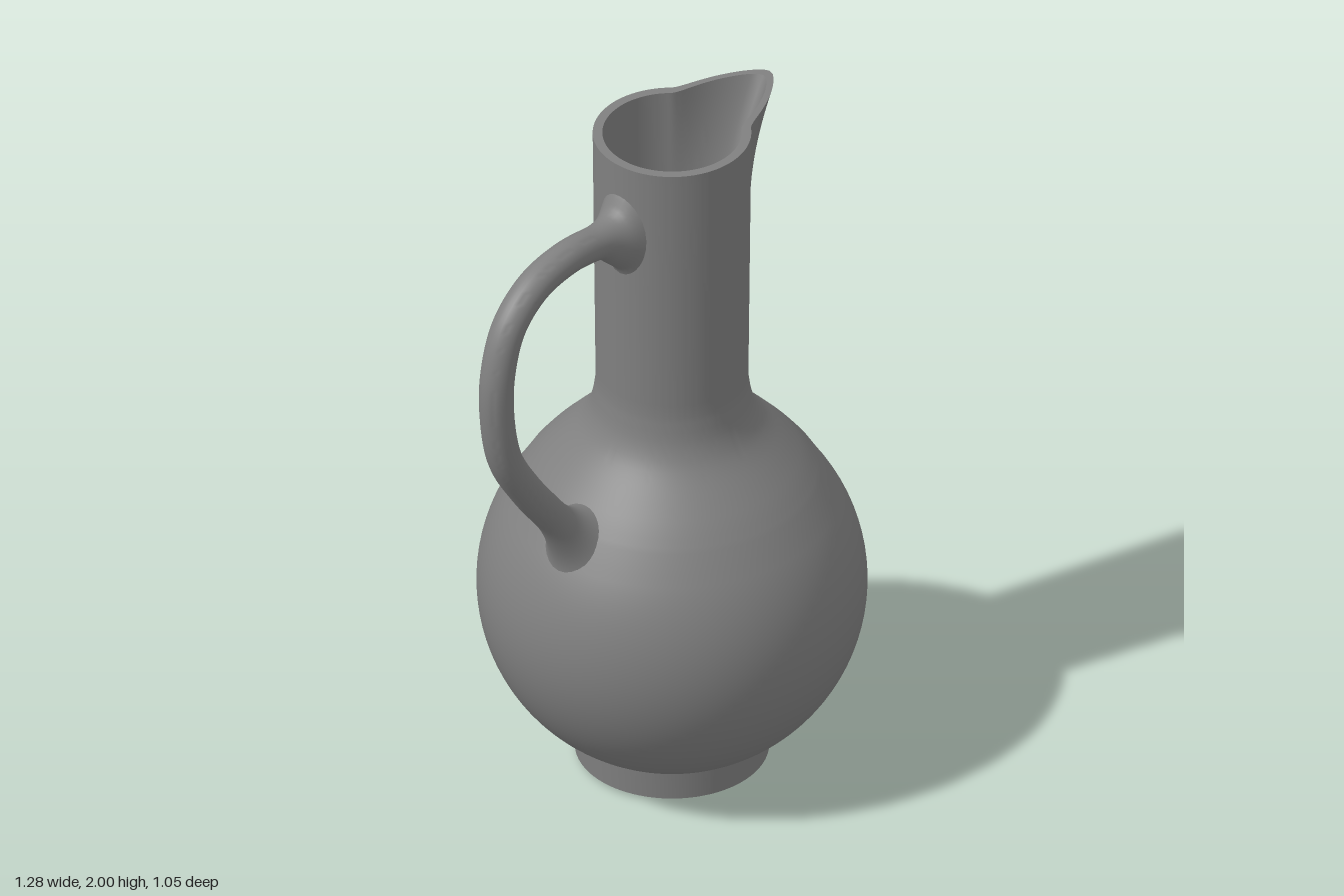
import * as THREE from 'three';
import { mergeVertices, toCreasedNormals } from 'three/addons/utils/BufferGeometryUtils.js';

const material = new THREE.MeshStandardMaterial({ color: 0x808080 });
const v2 = (x, y) => new THREE.Vector2(x, y);

// Smooth shading without a seam, keeping the rim and foot edges sharp
function finish(geo) {
  geo.deleteAttribute('uv');
  geo.deleteAttribute('normal');
  return toCreasedNormals(mergeVertices(geo, 1e-5), 0.7);
}

// Round belly: points on a circle from height y0 to y1
function bellyArc(radius, y0, y1, steps) {
  const cy = 0.55, a0 = Math.asin((y0 - cy) / radius), a1 = Math.asin((y1 - cy) / radius);
  const points = [];
  for (let i = 0; i <= steps; i++) {
    const a = a0 + (a1 - a0) * i / steps;
    points.push(v2(radius * Math.cos(a), cy + radius * Math.sin(a)));
  }
  return points;
}

// Shoulder curving into the neck, then the nearly straight neck up to the rim
function shoulderAndNeck(wall) {
  const shoulder = new THREE.SplineCurve([
    v2(0.4, 0.9), v2(0.36, 0.95), v2(0.313, 1), v2(0.265, 1.05),
    v2(0.236, 1.09), v2(0.216, 1.14), v2(0.205, 1.21)
  ]).getPoints(18);
  const neck = [];
  for (let i = 1; i <= 20; i++) neck.push(v2(0.205 + 0.008 * i / 20, 1.21 + 0.79 * i / 20));
  return [...shoulder, ...neck].map(p => v2(p.x - wall, p.y));
}

// Vessel: closed lathe wall, pulled out at one side into a pouring lip
function vesselGeometry() {
  const wall = 0.026;
  const outside = [
    v2(0, 0), v2(0.24, 0), v2(0.261, 0.013), v2(0.266, 0.1),
    ...bellyArc(0.525, 0.102, 0.85, 28), ...shoulderAndNeck(0)
  ];
  const inside = [v2(0, 0.11), ...bellyArc(0.5, 0.11, 0.85, 22), ...shoulderAndNeck(wall)].reverse();
  const geo = new THREE.LatheGeometry([...outside, ...inside], 160, -Math.PI / 2);

  const pos = geo.attributes.position;
  for (let i = 0; i < pos.count; i++) {
    const x = pos.getX(i), y = pos.getY(i), z = pos.getZ(i);
    const r = Math.hypot(x, z);
    if (y < 1.25 || r < 0.01) continue;
    // angle from the lip, softened so the tip is slightly blunt
    const angle = Math.hypot(Math.atan2(z, x), 0.06) - 0.06;
    const side = Math.max(0, 1 - angle / 0.69);
    const pull = 0.18 * Math.pow((y - 1.25) / 0.75, 2.5) * Math.pow(side, 1.65);
    pos.setX(i, x * (1 + pull / r));
    pos.setZ(i, z * (1 + pull / r));
  }
  return finish(geo);
}

// Handle: a tube that flares where it meets the neck and the belly
function handleGeometry() {
  const path = new THREE.CatmullRomCurve3([
    [-0.198, 1.782], [-0.24, 1.784], [-0.31, 1.798], [-0.43, 1.808], [-0.56, 1.78],
    [-0.655, 1.7], [-0.7, 1.57], [-0.703, 1.43], [-0.672, 1.28], [-0.59, 1.14],
    [-0.5, 1.02], [-0.435, 0.938], [-0.375, 0.875]
  ].map(([x, y]) => new THREE.Vector3(x, y, 0)));
  const rings = 120, sides = 28;
  const geo = new THREE.TubeGeometry(path, rings, 0.047, sides);
  const pos = geo.attributes.position;
  const neckRadius = 0.207;
  for (let i = 0; i < pos.count; i++) {
    const u = Math.floor(i / (sides + 1)) / rings;
    const c = path.getPointAt(u);
    const top = Math.pow(Math.max(0, 1 - u / 0.1), 2.6);
    const bottom = Math.pow(Math.max(0, (u - 0.86) / 0.14), 2.6);
    const inPlane = 1 + 2.1 * top + 1.4 * bottom;
    const across = 1 + 0.9 * top + 1.1 * bottom;
    const z = pos.getZ(i) * across;
    // wrap the upper end around the neck
    const wrap = top * (neckRadius - Math.sqrt(neckRadius ** 2 - z * z));
    pos.setXYZ(i,
      c.x + (pos.getX(i) - c.x) * inPlane + wrap,
      c.y + (pos.getY(i) - c.y) * inPlane,
      z);
  }
  return finish(geo);
}

export function createModel() {
  const jug = new THREE.Group();
  jug.name = 'jug';
  const parts = { vessel: vesselGeometry(), handle: handleGeometry() };
  for (const [name, geo] of Object.entries(parts)) {
    const mesh = new THREE.Mesh(geo, material);
    mesh.name = name;
    jug.add(mesh);
  }
  // handle and lip are turned slightly about the jug's axis
  jug.rotation.y = -0.08;
  jug.position.x = 0.11;
  const model = new THREE.Group();
  model.name = 'pouringJug';
  model.add(jug);
  return model;
}
